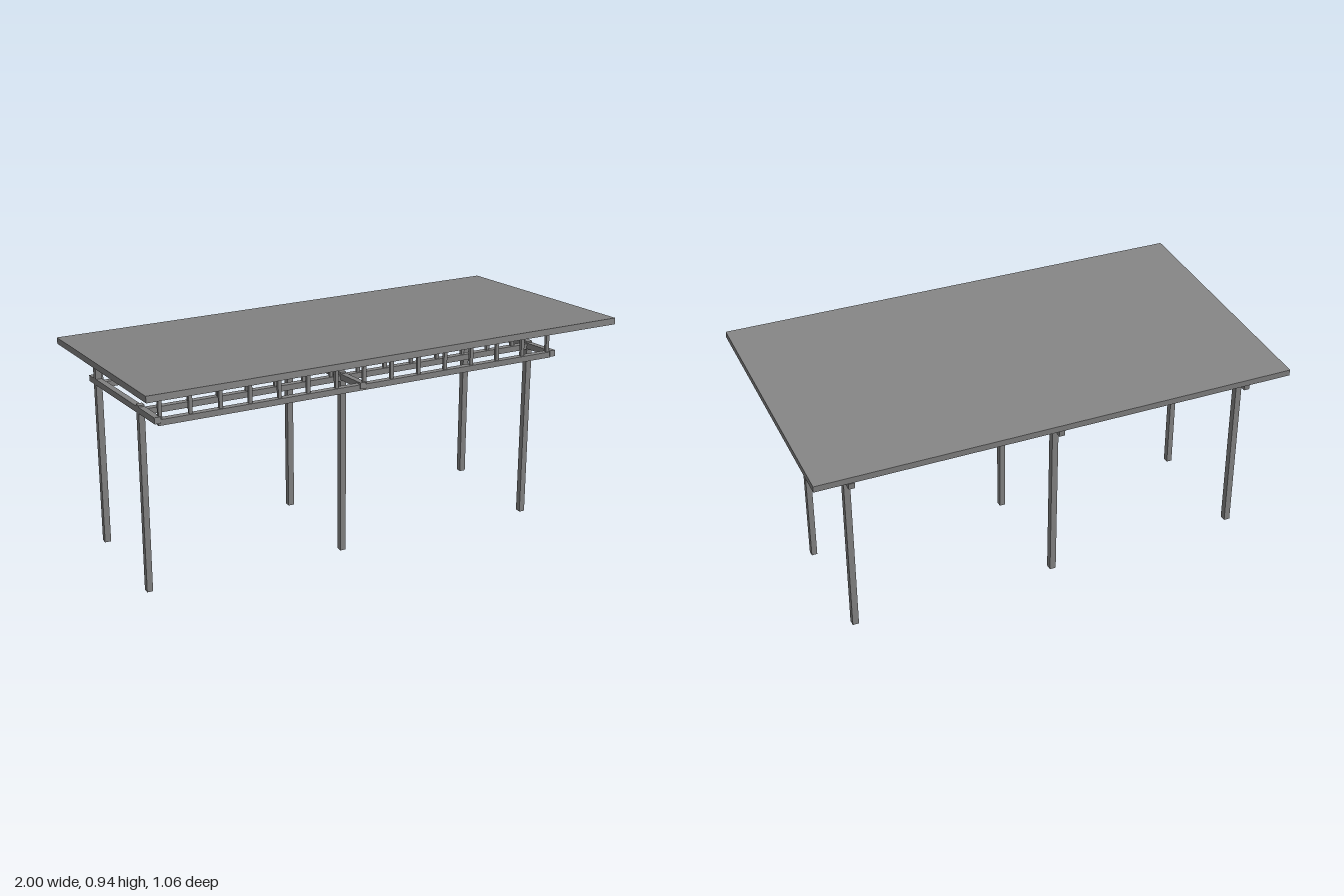
import * as THREE from 'three';

const material = new THREE.MeshStandardMaterial({ color: 0x848484, flatShading: true });
const ROLL = 0.004; // slight rise towards the left end

function box(name, size, position, rotX = 0, rotZ = 0) {
  const mesh = new THREE.Mesh(new THREE.BoxGeometry(...size), material);
  mesh.name = name;
  mesh.position.set(...position);
  mesh.rotation.set(rotX, 0, rotZ);
  return mesh;
}

// Ladder-like truss along x: top chord, bottom chord and evenly spaced struts
function truss(name, z, topY, bottomY, inset, bays) {
  const group = new THREE.Group();
  const left = -0.9, right = 0.8, mid = (left + right) / 2;
  group.name = name;
  group.position.set(mid, 0, z);
  group.rotation.z = ROLL;
  group.add(box('topChord', [right - left, 0.026, 0.025], [0, topY, 0]));
  group.add(box('bottomChord', [right - left, 0.024, 0.025], [0, bottomY, 0]));
  const span = right - left - 2 * inset;
  for (let i = 0; i <= bays; i++) {
    const x = -span / 2 + (span * i) / bays;
    group.add(box('strut', [0.014, topY - bottomY, 0.014], [x, (topY + bottomY) / 2, 0]));
  }
  return group;
}

export function createModel() {
  const model = new THREE.Group();
  model.name = 'shelter';

  // Sloping roof slab, high at the front
  model.add(box('roof', [2, 0.026, 1.066], [0, 0.878, 0], -0.089, ROLL));

  // Three frames, each with two posts and a sloping cross beam
  for (const x of [-0.907, -0.064, 0.807]) {
    const frame = new THREE.Group();
    frame.name = 'postFrame';
    frame.position.x = x;
    frame.add(box('frontPost', [0.024, 0.778, 0.027], [0, 0.389, 0.198]));
    frame.add(box('rearPost', [0.026, 0.765, 0.028], [0, 0.3825, -0.307]));
    frame.add(box('crossBeam', [0.025, 0.025, 0.766], [0, 0.738, 0.002], -0.1));
    model.add(frame);
  }

  // Trusses that carry the roof; the middle one has its struts half a bay off
  model.add(truss('frontTruss', 0.367, 0.885, 0.768, 0.01, 14));
  model.add(truss('middleTruss', 0.198, 0.873, 0.752, 0.07, 13));
  model.add(truss('rearTruss', -0.308, 0.827, 0.696, 0.01, 14));

  return model;
}
